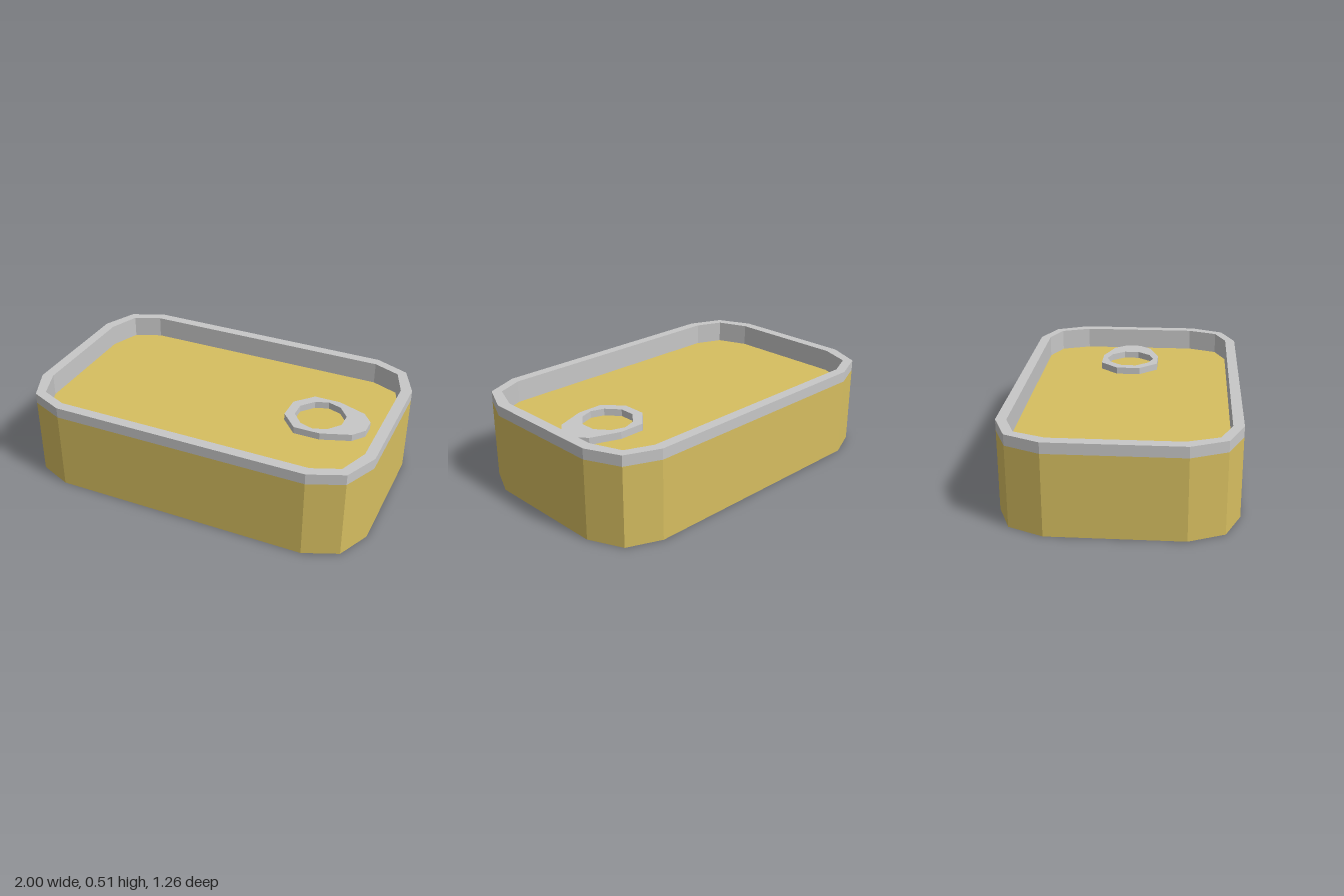
import * as THREE from 'three';

const WALL_TOP = 0.45, RIM_TOP = 0.51, LID_Y = 0.385, TAB_TOP = 0.425;

// Mirror one corner (counter-clockwise, seen from above) into a full outline
function outline(corner) {
  const v = (sx, sz) => {
    const pts = corner.map(([x, z]) => new THREE.Vector2(sx * x, sz * z));
    return sx * sz < 0 ? pts.reverse() : pts;
  };
  return [...v(1, 1), ...v(-1, 1), ...v(-1, -1), ...v(1, -1)];
}

// Open vertical band following an outline; reverse the outline to face inward
function band(points, y0, y1) {
  const pos = [];
  points.forEach((a, i) => {
    const b = points[(i + 1) % points.length];
    const p = [[a.x, y0, -a.y], [b.x, y0, -b.y], [b.x, y1, -b.y], [a.x, y1, -a.y]];
    for (const k of [0, 1, 2, 0, 2, 3]) pos.push(...p[k]);
  });
  const geo = new THREE.BufferGeometry();
  geo.setAttribute('position', new THREE.Float32BufferAttribute(pos, 3));
  geo.computeVertexNormals();
  return geo;
}

// Flat horizontal face, optionally with a hole or facing down
function face(points, y, hole, down = false) {
  const shape = new THREE.Shape(points);
  if (hole) shape.holes.push(new THREE.Path(hole));
  const geo = new THREE.ShapeGeometry(shape);
  geo.rotateX(down ? Math.PI / 2 : -Math.PI / 2); // outline is symmetric
  return geo.translate(0, y, 0);
}

export function createModel() {
  const gold = new THREE.MeshStandardMaterial({ color: 0xd6be60 });
  gold.name = 'gold';
  const metal = new THREE.MeshStandardMaterial({ color: 0xc7c7c7 });
  metal.name = 'metal';

  const group = new THREE.Group();
  group.name = 'tin';
  const add = (name, geo, mat) => {
    const mesh = new THREE.Mesh(geo, mat);
    mesh.name = name;
    group.add(mesh);
  };

  const outer = outline([[1, 0.36], [0.915, 0.55], [0.725, 0.63]]);
  const inner = outline([[0.94, 0.34], [0.875, 0.51], [0.725, 0.572]]);

  // Can body
  add('sideWall', band(outer, 0, WALL_TOP), gold);
  add('base', face(outer, 0, null, true), metal);
  add('lid', face(inner, LID_Y), gold);

  // Raised rim
  add('rimOutside', band(outer, WALL_TOP, RIM_TOP), metal);
  add('rimTop', face(outer, RIM_TOP, inner), metal);
  add('rimInside', band([...inner].reverse(), LID_Y, RIM_TOP), metal);

  // Pull tab: half profiles mirrored about its own axis
  const tabZ = -0.035;
  const mirrored = (half) => [
    ...half.map(([x, s]) => new THREE.Vector2(x, s - tabZ)),
    ...[...half].reverse().map(([x, s]) => new THREE.Vector2(x, -s - tabZ)),
  ];
  const tab = new THREE.Shape(mirrored(
    [[0.85, 0.045], [0.795, 0.115], [0.63, 0.175], [0.48, 0.175], [0.385, 0.07]]));
  const hole = mirrored(
    [[0.712, 0.045], [0.652, 0.12], [0.575, 0.145], [0.5, 0.12], [0.437, 0.045]]);
  hole.splice(7, 1, new THREE.Vector2(0.575, -0.145 - tabZ));
  tab.holes.push(new THREE.Path(hole));
  const tabGeo = new THREE.ExtrudeGeometry(tab, { depth: TAB_TOP - LID_Y, bevelEnabled: false });
  tabGeo.rotateX(-Math.PI / 2).translate(0, LID_Y, 0);
  add('pullTab', tabGeo, metal);

  return group;
}
